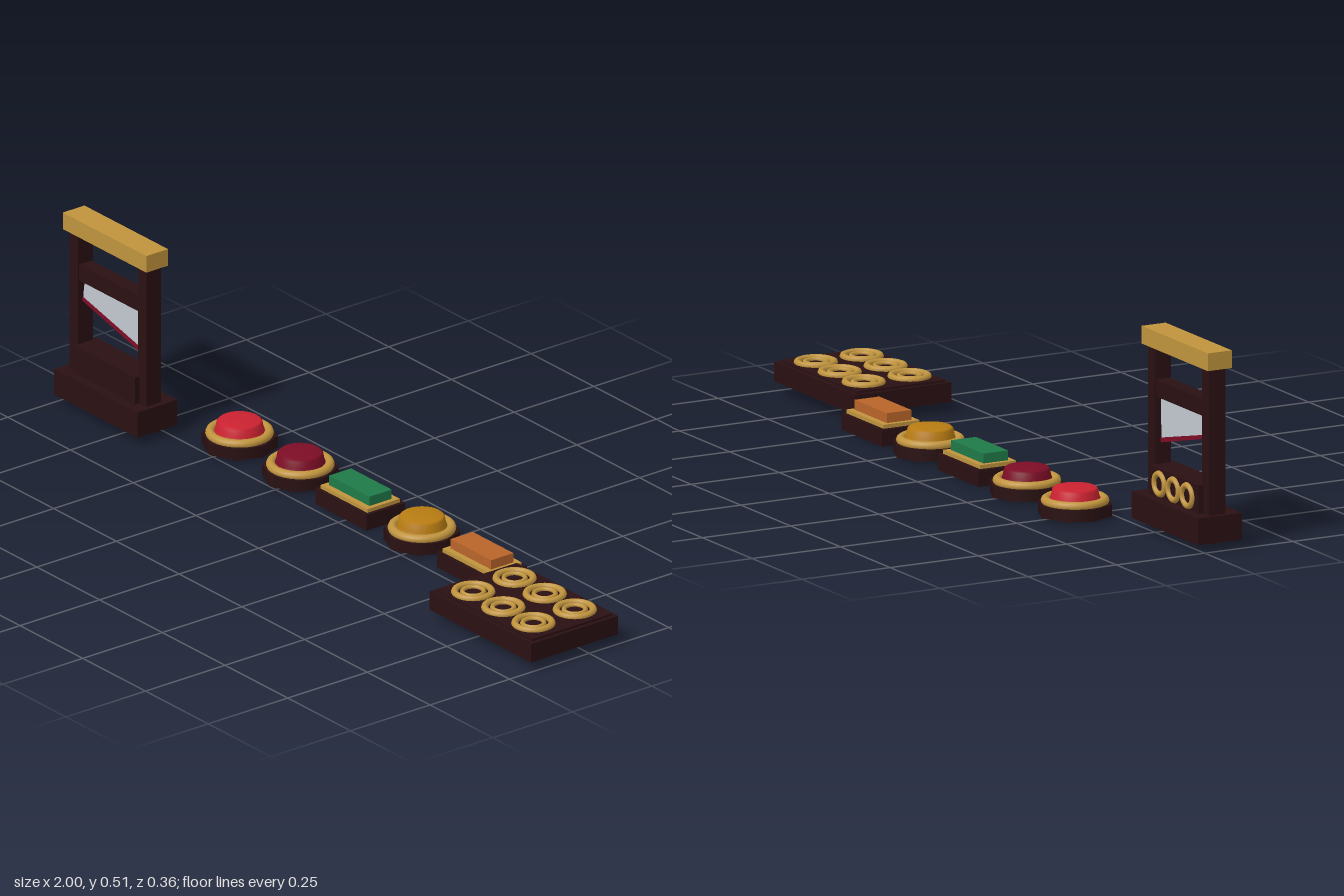
import * as THREE from 'three';

const mat = (name, color) => {
  const m = new THREE.MeshStandardMaterial({ color });
  m.name = name;
  return m;
};

export function createModel() {
  const wood = mat('dark wood', 0x2a1012);
  const brass = mat('brass', 0xc0943e);
  const steel = mat('steel', 0xc3c8d0);
  const red = mat('red', 0xcc2230);
  const crimson = mat('crimson', 0x7d0d26);
  const green = mat('green', 0x1f7a48);
  const amber = mat('amber', 0xb87c12);
  const orange = mat('orange', 0xb9652a);

  const root = new THREE.Group();
  root.name = 'propSet';
  const group = (name, x, z) => {
    const g = new THREE.Group();
    g.name = name;
    g.position.set(x, 0, z);
    root.add(g);
    return g;
  };
  const add = (g, name, geo, m, x = 0, y = 0, z = 0) => {
    const mesh = new THREE.Mesh(geo, m);
    mesh.name = name;
    mesh.position.set(x, y, z);
    g.add(mesh);
    return mesh;
  };
  // box given by its bottom and top heights
  const slab = (g, name, m, w, d, y0, y1, x = 0, z = 0) =>
    add(g, name, new THREE.BoxGeometry(w, y1 - y0, d), m, x, (y0 + y1) / 2, z);
  // flat polygon extruded and centred in z
  const plate = (g, name, m, pts, depth) => {
    const shape = new THREE.Shape(pts.map(p => new THREE.Vector2(...p)));
    const geo = new THREE.ExtrudeGeometry(shape, { depth, bevelEnabled: false });
    return add(g, name, geo.translate(0, 0, -depth / 2), m);
  };

  // Blade frame
  const frame = group('bladeFrame', -0.8335, 0.043);
  slab(frame, 'frameBase', wood, 0.333, 0.125, 0.022, 0.09);
  for (const s of [-1, 1]) slab(frame, s < 0 ? 'rightPost' : 'leftPost', wood, 0.034, 0.046, 0.09, 0.461, s * 0.136);
  slab(frame, 'topBeam', brass, 0.333, 0.068, 0.461, 0.506);
  slab(frame, 'lowerBoard', wood, 0.25, 0.073, 0.09, 0.163);
  slab(frame, 'crossbar', wood, 0.24, 0.04, 0.335, 0.378);
  plate(frame, 'blade', steel, [[-0.12, 0.287], [0.115, 0.23], [0.116, 0.327], [-0.112, 0.342]], 0.014);
  plate(frame, 'bladeEdge', crimson, [[-0.121, 0.277], [0.114, 0.218], [0.115, 0.23], [-0.12, 0.287]], 0.018);
  for (const i of [-1, 0, 1])
    add(frame, 'boardRing', new THREE.TorusGeometry(0.026, 0.008, 8, 24), brass, i * 0.07, 0.125, -0.037);

  // Round push buttons: octagonal foot, brass collar, rounded cap
  const capProfile = [[0.064, 0.044], [0.06, 0.054], [0.057, 0.07], [0.052, 0.0745], [0.03, 0.0765], [0, 0.077]]
    .map(p => new THREE.Vector2(...p));
  const roundButton = (name, x, m) => {
    const g = group(name, x, -0.088);
    add(g, 'buttonFoot', new THREE.CylinderGeometry(0.095, 0.095, 0.03, 8).toNonIndexed(), wood, 0, 0.021);
    add(g, 'buttonCollar', new THREE.TorusGeometry(0.073, 0.012, 10, 32).rotateX(Math.PI / 2), brass, 0, 0.041);
    add(g, 'buttonCap', new THREE.LatheGeometry(capProfile, 28), m);
  };
  roundButton('redButton', -0.505, red);
  roundButton('crimsonButton', -0.263, crimson);
  roundButton('amberButton', 0.222, amber);

  // Rectangular push buttons
  const barButton = (name, x, m) => {
    const g = group(name, x, -0.085);
    slab(g, 'buttonFoot', wood, 0.205, 0.121, 0, 0.042);
    slab(g, 'buttonCollar', brass, 0.186, 0.102, 0.042, 0.052);
    slab(g, 'buttonCap', m, 0.162, 0.07, 0.052, 0.077);
  };
  barButton('greenButton', -0.02, green);
  barButton('orangeButton', 0.465, orange);

  // Panel with six double rings
  const panel = group('ringPanel', 0.796, 0.044);
  slab(panel, 'panelBase', wood, 0.404, 0.274, 0.025, 0.075);
  slab(panel, 'panelTop', wood, 0.384, 0.25, 0.075, 0.081);
  for (const i of [-1, 0, 1]) for (const j of [-1, 1]) {
    const x = i * 0.12, z = j * 0.065;
    add(panel, 'outerRing', new THREE.TorusGeometry(0.046, 0.009, 8, 28).rotateX(Math.PI / 2), brass, x, 0.083, z);
    add(panel, 'innerRing', new THREE.TorusGeometry(0.027, 0.006, 8, 24).rotateX(Math.PI / 2), brass, x, 0.083, z);
  }
  return root;
}
